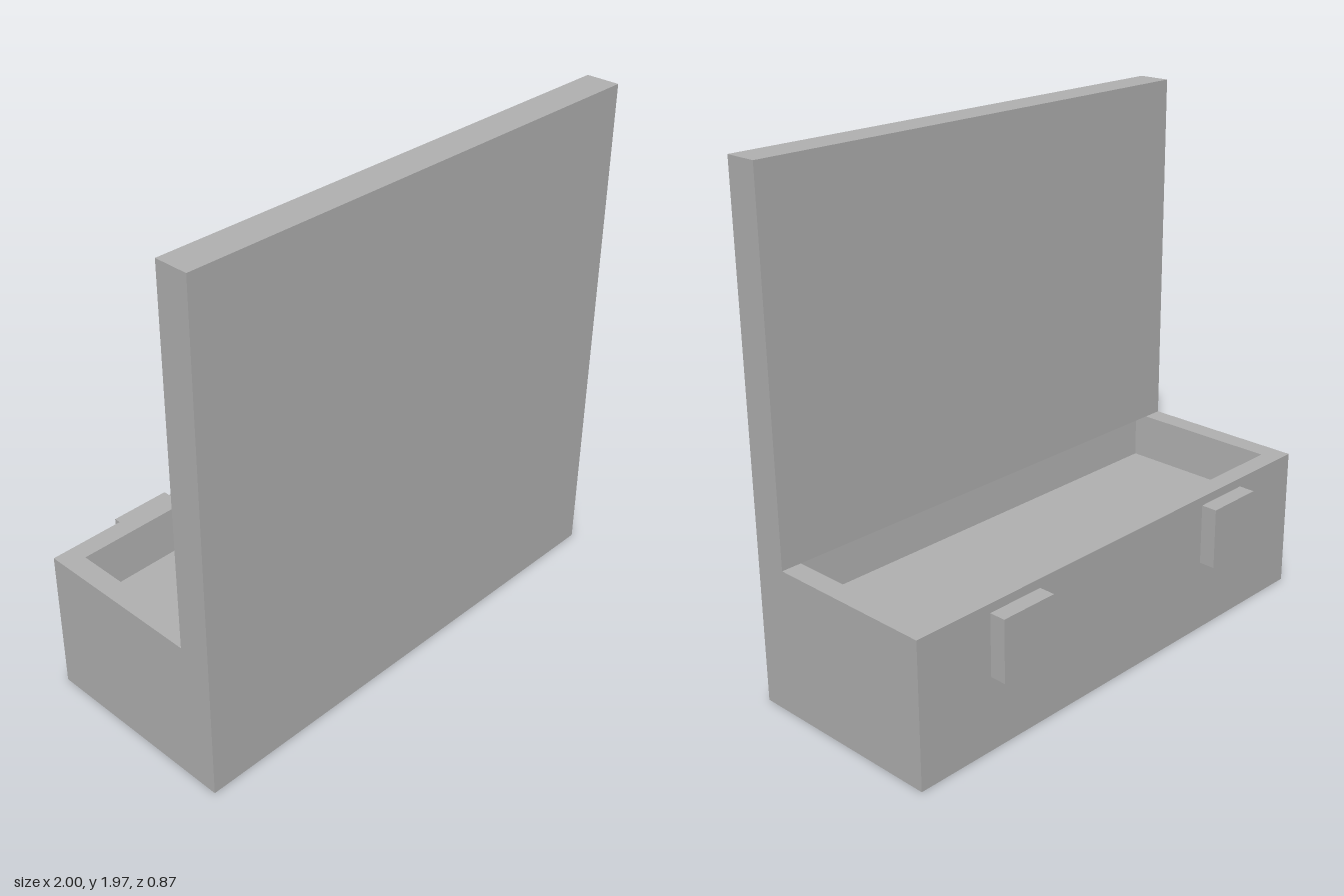
import * as THREE from 'three';

// Closed solid from rectangular loops [x half width, z back, z front, y], ordered from underside to cavity floor
function loopSolid(rings) {
  const loops = rings.map(([x, z0, z1, y]) => [[-x, y, z1], [x, y, z1], [x, y, z0], [-x, y, z0]]);
  const pos = [];
  const quad = (a, b, c, d) => pos.push(...a, ...b, ...c, ...a, ...c, ...d);
  for (let k = 0; k < loops.length - 1; k++) {
    for (let i = 0; i < 4; i++) {
      const j = (i + 1) % 4;
      quad(loops[k][i], loops[k][j], loops[k + 1][j], loops[k + 1][i]);
    }
  }
  quad(...[...loops[0]].reverse());
  quad(...loops[loops.length - 1]);
  const g = new THREE.BufferGeometry();
  g.setAttribute('position', new THREE.Float32BufferAttribute(pos, 3));
  g.computeVertexNormals();
  return g;
}

export function createModel() {
  const group = new THREE.Group();
  group.name = 'openCase';
  const grey = new THREE.MeshStandardMaterial({ color: 0xb2b2b2 });
  grey.name = 'grey';

  const add = (name, geometry, x = 0, y = 0, z = 0) => {
    const mesh = new THREE.Mesh(geometry, grey);
    mesh.name = name;
    mesh.position.set(x, y, z);
    group.add(mesh);
  };

  // Case body with a slightly tapered cavity that runs back under the lid
  const top = 0.56, back = -0.37, front = 0.432;
  add('caseBody', loopSolid([
    [1, back, front, 0],
    [1, back, front, top],
    [0.92, -0.295, 0.357, top],
    [0.91, -0.285, 0.347, 0.38],
  ]));

  // Upright open lid
  const lidHeight = 1.965 - top, lidDepth = 0.13;
  add('lid', new THREE.BoxGeometry(2, lidHeight, lidDepth), 0, top + lidHeight / 2, front - lidDepth / 2);

  // Pair of latches
  for (const side of [-1, 1]) {
    add(side > 0 ? 'leftLatch' : 'rightLatch',
      new THREE.BoxGeometry(0.236, 0.24, 0.064), side * 0.56, 0.405, -0.402);
  }
  return group;
}
